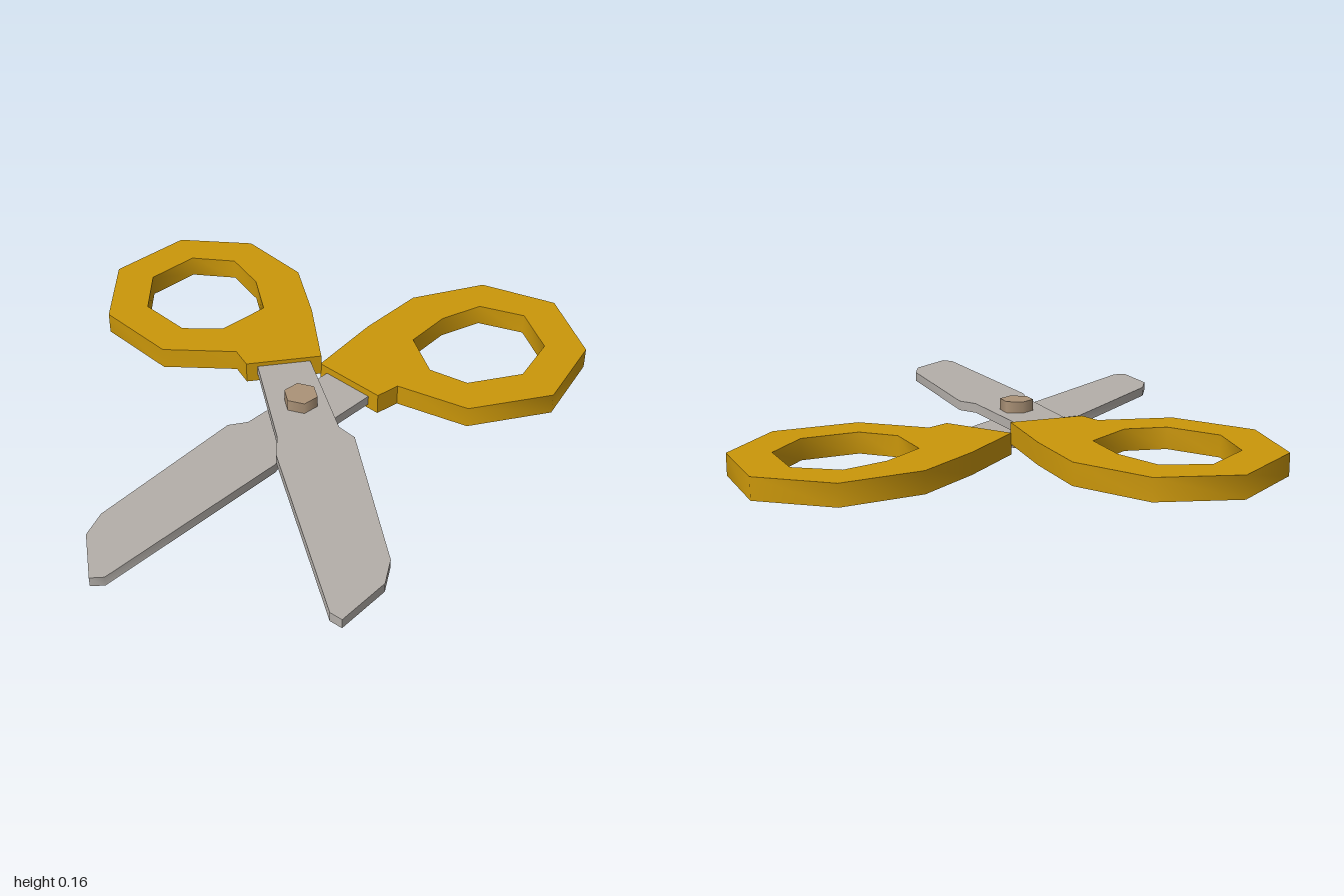
import * as THREE from 'three';
import { toCreasedNormals } from 'three/addons/utils/BufferGeometryUtils.js';

const GOLD = new THREE.MeshStandardMaterial({ color: 0xcb970a });
const STEEL = new THREE.MeshStandardMaterial({ color: 0xb4afaa });
const PIN = new THREE.MeshStandardMaterial({ color: 0xac9378 });

// Flat plate from a plan outline of [x, z] points, between two heights.
// Outline and hole are both listed clockwise; the hole is turned so its walls face inward.
function plate(name, material, bottom, top, outline, hole) {
  const toPoints = (list) => list.map(([x, z]) => new THREE.Vector2(x, -z));
  const shape = new THREE.Shape(toPoints(outline));
  if (hole) shape.holes.push(new THREE.Path(toPoints(hole).reverse()));
  const geometry = new THREE.ExtrudeGeometry(shape, { depth: top - bottom, bevelEnabled: false });
  geometry.rotateX(-Math.PI / 2).translate(0, bottom, 0);
  const mesh = new THREE.Mesh(toCreasedNormals(geometry, 1.1), material);
  mesh.name = name;
  return mesh;
}

export function createModel() {
  const group = new THREE.Group();
  group.name = 'scissors';

  // Upper half: blade points forward, finger loop at the back
  const upper = new THREE.Group();
  upper.name = 'upperHalf';
  upper.add(
    plate('upperBlade', STEEL, 0.09, 0.123, [
      [-0.13, -0.17], [0.05, -0.11], [0.045, -0.08], [-0.06, 0.275], [-0.045, 0.345], [-0.25, 0.86],
      [-0.315, 0.93], [-0.49, 0.985], [-0.505, 0.945], [-0.3, 0.29], [-0.255, 0.22], [-0.125, -0.14],
    ]),
    plate('upperHandle', GOLD, 0.065, 0.138, [
      [0.013, -0.99], [0.23, -0.83], [0.28, -0.56], [0.195, -0.32], [0.08, -0.065],
      [-0.16, -0.155], [-0.155, -0.235], [-0.365, -0.375], [-0.435, -0.665], [-0.28, -0.92],
    ], [
      [-0.01, -0.85], [0.115, -0.75], [0.115, -0.585], [0.055, -0.42],
      [-0.13, -0.38], [-0.25, -0.455], [-0.295, -0.64], [-0.195, -0.805],
    ]),
  );

  // Lower half: blade points to the right, finger loop to the left
  const lower = new THREE.Group();
  lower.name = 'lowerHalf';
  lower.add(
    plate('lowerBlade', STEEL, 0.045, 0.078, [
      [-0.335, 0.035], [-0.27, 0.055], [0.085, -0.04], [0.12, -0.045], [0.17, 0.13], [0.14, 0.14],
      [-0.235, 0.24], [-0.3, 0.285], [-0.96, 0.465], [-1, 0.445], [-0.935, 0.275], [-0.86, 0.215],
    ]),
    plate('lowerHandle', GOLD, 0.03, 0.103, [
      [0.58, -0.245], [0.85, -0.185], [1, 0.045], [0.91, 0.33], [0.65, 0.475],
      [0.365, 0.39], [0.235, 0.17], [0.15, 0.18], [0.08, -0.07], [0.34, -0.175],
    ], [
      [0.595, -0.08], [0.755, -0.075], [0.855, 0.055], [0.8, 0.24],
      [0.635, 0.33], [0.445, 0.275], [0.38, 0.15], [0.43, -0.025],
    ]),
  );

  // Six-sided pivot through both blades
  const pivot = new THREE.Mesh(new THREE.CylinderGeometry(0.057, 0.057, 0.162, 6, 1, false, 0.716), PIN);
  pivot.name = 'pivotPin';
  pivot.position.set(-0.101, 0.081, 0.106);

  group.add(upper, lower, pivot);
  return group;
}
